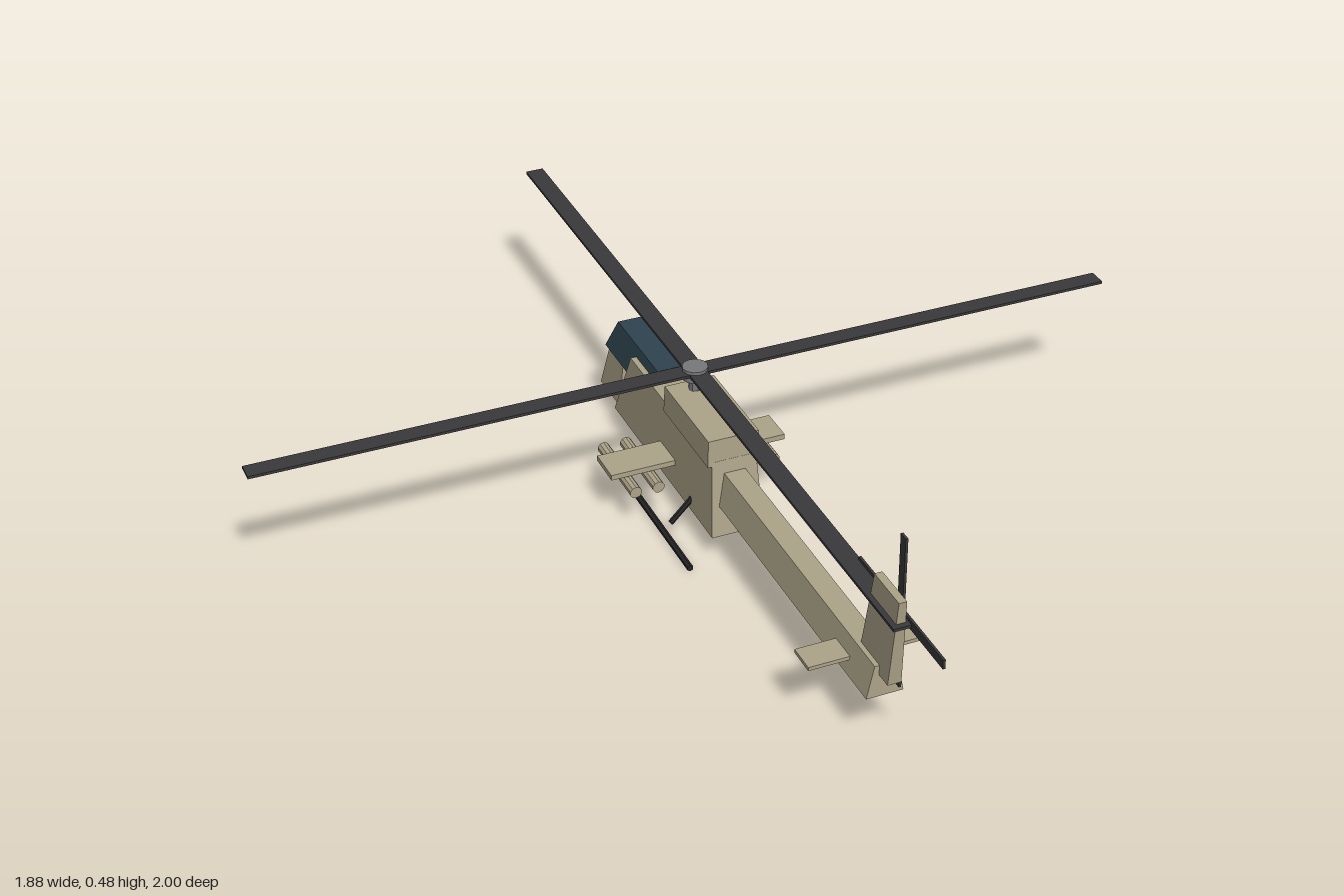
import * as THREE from 'three';

const mat = (color) => new THREE.MeshStandardMaterial({ color, flatShading: true });

export function createModel() {
  const group = new THREE.Group();
  group.name = 'helicopter';
  const tan = mat(0xada489), glass = mat(0x2f4350), dark = mat(0x3a3a3c), black = mat(0x242426), steel = mat(0x77797b);

  const add = (name, geometry, material, x = 0, y = 0, z = 0) => {
    const mesh = new THREE.Mesh(geometry, material);
    mesh.name = name;
    mesh.position.set(x, y, z);
    group.add(mesh);
    return mesh;
  };

  // Six-sided block; bottom and top are [y, halfWidth, zFront, zBack]
  const block = (name, material, bottom, top) => {
    const geometry = new THREE.BoxGeometry(2, 2, 2).toNonIndexed();
    const p = geometry.attributes.position;
    for (let i = 0; i < p.count; i++) {
      const [y, w, z0, z1] = p.getY(i) > 0 ? top : bottom;
      p.setXYZ(i, p.getX(i) * w, y, p.getZ(i) < 0 ? z0 : z1);
    }
    geometry.computeVertexNormals();
    return add(name, geometry, material);
  };

  const box = (name, material, size, pos) => add(name, new THREE.BoxGeometry(...size), material, ...pos);

  // Rod between two points
  const rod = (name, material, a, b, radius, sides = 8) => {
    const from = new THREE.Vector3(...a), dir = new THREE.Vector3(...b).sub(from);
    const mesh = add(name, new THREE.CylinderGeometry(radius, radius, dir.length(), sides), material);
    mesh.position.copy(from).addScaledVector(dir, 0.5);
    mesh.quaternion.setFromUnitVectors(new THREE.Vector3(0, 1, 0), dir.normalize());
    return mesh;
  };

  // Fuselage, nose towards -z
  block('fuselage', tan, [0.058, 0.057, -0.37, 0.16], [0.225, 0.048, -0.295, 0.138]);
  block('engineCowl', tan, [0.215, 0.057, -0.092, 0.138], [0.275, 0.055, -0.09, 0.136]);
  block('nose', tan, [0.06, 0.046, -0.48, -0.37], [0.175, 0.035, -0.445, -0.37]);
  block('canopy', glass, [0.174, 0.047, -0.445, -0.19], [0.247, 0.03, -0.41, -0.19]);
  block('tailBoom', tan, [0.125, 0.038, 0.1, 0.82], [0.196, 0.023, 0.1, 0.82]);
  block('tailFin', tan, [0.175, 0.014, 0.74, 0.855], [0.37, 0.008, 0.775, 0.873]);
  box('tailplane', tan, [0.23, 0.008, 0.06], [0, 0.157, 0.705]);

  // Main rotor
  const rz = -0.06;
  rod('mast', steel, [0, 0.27, rz], [0, 0.305, rz], 0.014);
  rod('mainHub', steel, [0, 0.301, rz], [0, 0.328, rz], 0.027, 12);
  box('mainBladePair', dark, [1.88, 0.006, 0.04], [0, 0.318, rz]);
  box('mainBladePair', dark, [0.04, 0.006, 1.88], [0, 0.318, rz]);

  // Tail rotor on the left of the fin
  rod('tailHub', steel, [0, 0.318, 0.833], [0.022, 0.318, 0.833], 0.013);
  box('tailBladePair', dark, [0.005, 0.33, 0.02], [0.018, 0.318, 0.833]);
  box('tailBladePair', dark, [0.005, 0.02, 0.334], [0.018, 0.318, 0.833]);

  // Stub wings and weapon pods
  box('stubWings', tan, [0.39, 0.012, 0.08], [0, 0.117, -0.08]);
  for (const s of [-1, 1]) {
    for (const x of [0.105, 0.155]) rod('rocketPod', tan, [s * x, 0.092, -0.187], [s * x, 0.092, -0.005], 0.013, 10);

    // Landing skids and struts
    rod('skid', black, [s * 0.111, 0.008, -0.288], [s * 0.111, 0.008, 0.174], 0.007, 6);
    for (const z of [-0.16, 0.045]) rod('skidStrut', black, [s * 0.047, 0.088, z], [s * 0.1, 0.034, z], 0.006, 6);
  }

  // Chin gun
  add('gunTurret', new THREE.CylinderGeometry(0.025, 0.019, 0.03, 10), dark, 0, 0.043, -0.405);
  rod('gunBarrel', black, [0, 0.028, -0.4], [0, 0.028, -0.52], 0.005, 6);

  return group;
}
